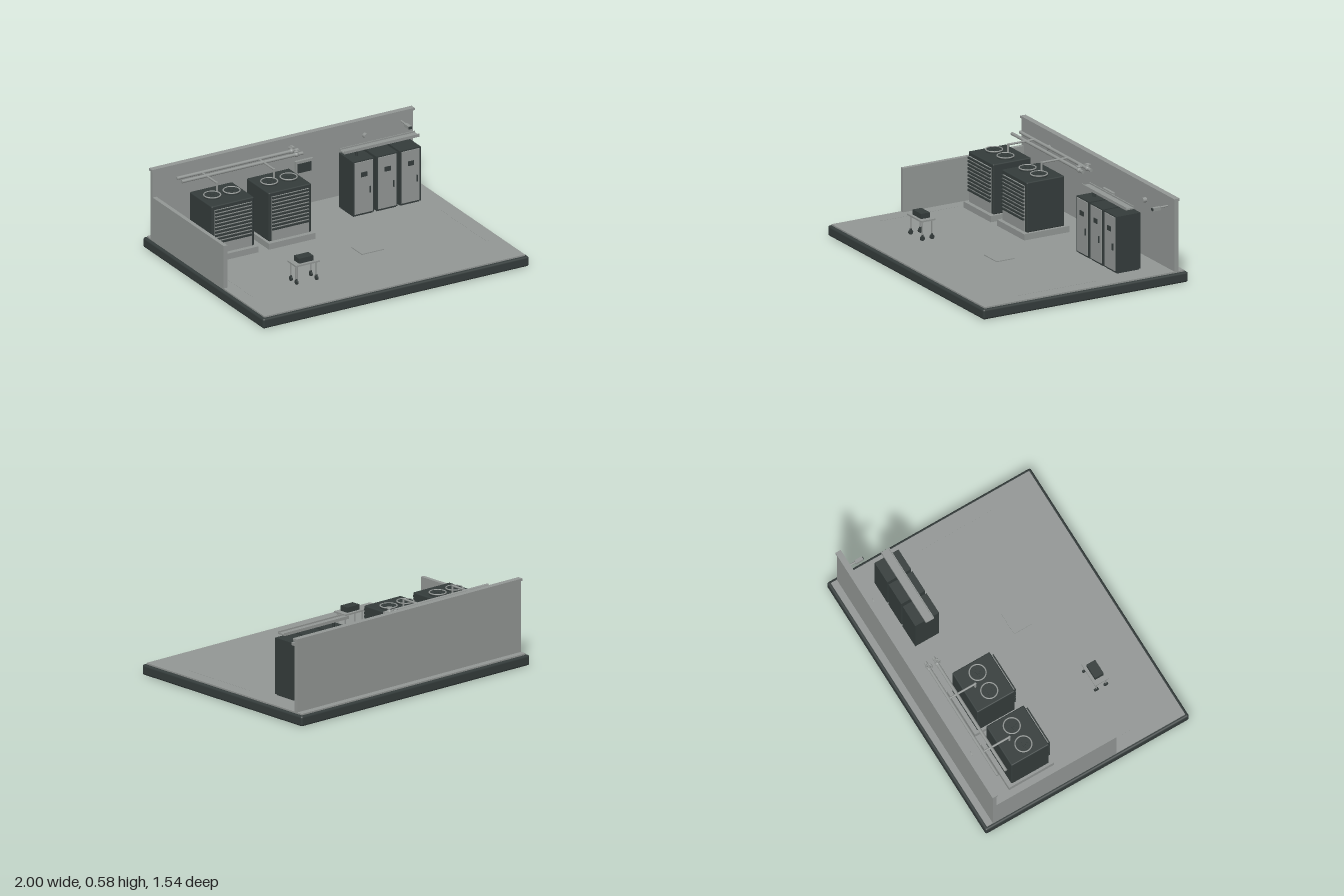
import * as THREE from 'three';
import { RoundedBoxGeometry } from 'three/addons/geometries/RoundedBoxGeometry.js';

const light = new THREE.MeshStandardMaterial({ color: 0x929694 });
light.name = 'lightGrey';
const dark = new THREE.MeshStandardMaterial({ color: 0x343c3b });
dark.name = 'charcoal';

function add(parent, name, geometry, material, x = 0, y = 0, z = 0) {
  const mesh = new THREE.Mesh(geometry, material);
  mesh.name = name;
  mesh.position.set(x, y, z);
  parent.add(mesh);
  return mesh;
}

// Box given by its minimum and maximum on each axis
function box(parent, name, material, x0, x1, y0, y1, z0, z1) {
  return add(parent, name, new THREE.BoxGeometry(x1 - x0, y1 - y0, z1 - z0), material,
    (x0 + x1) / 2, (y0 + y1) / 2, (z0 + z1) / 2);
}

// Round bar between two points
function rod(parent, name, material, from, to, radius, sides = 16) {
  const a = new THREE.Vector3(...from), b = new THREE.Vector3(...to);
  const dir = b.clone().sub(a);
  const mesh = add(parent, name, new THREE.CylinderGeometry(radius, radius, dir.length(), sides), material);
  mesh.position.copy(a).add(b).multiplyScalar(0.5);
  mesh.quaternion.setFromUnitVectors(new THREE.Vector3(0, 1, 0), dir.normalize());
  return mesh;
}

function group(parent, name, x = 0, y = 0, z = 0) {
  const g = new THREE.Group();
  g.name = name;
  g.position.set(x, y, z);
  parent.add(g);
  return g;
}

function buildRoom(root) {
  const room = group(root, 'room');
  add(room, 'base', new RoundedBoxGeometry(2, 0.07, 1.54, 3, 0.014), dark, 0, 0.035, 0);
  box(room, 'floor', light, -0.98, 0.98, 0.065, 0.08, -0.75, 0.75);
  box(room, 'backWall', light, -0.98, 0.98, 0.08, 0.562, -0.705, -0.677);
  box(room, 'backWallCap', light, -0.988, 0.988, 0.562, 0.578, -0.711, -0.671);
  box(room, 'sideWall', light, -0.98, -0.952, 0.08, 0.38, -0.677, 0.23);
  // Floor hatch and walkway strips
  box(room, 'floorHatch', light, 0.065, 0.23, 0.08, 0.086, 0.085, 0.22);
  for (const x of [-0.88, 0.88]) box(room, 'floorStrip', light, x - 0.008, x + 0.008, 0.08, 0.081, -0.14, 0.44);
}

function buildChiller(root, x) {
  const c = group(root, 'chiller', x);
  box(c, 'plinth', light, -0.175, 0.175, 0.08, 0.122, -0.498, -0.158);
  add(c, 'housing', new RoundedBoxGeometry(0.32, 0.343, 0.284, 2, 0.008), dark, 0, 0.2935, -0.328);
  box(c, 'frontPanel', light, -0.139, 0.139, 0.128, 0.437, -0.187, -0.177);
  // Louvres across the upper part of the front
  for (let i = 0; i < 10; i++) {
    const y = 0.21 + i * 0.0245;
    box(c, 'louvre', dark, -0.141, 0.141, y - 0.006, y + 0.006, -0.18, -0.167);
  }
  // Two roof fans with rims, blades and hubs
  for (const fx of [-0.073, 0.073]) {
    const fan = group(c, 'fan', fx, 0.465, -0.328);
    add(fan, 'fanDrum', new THREE.CylinderGeometry(0.055, 0.055, 0.014, 32), dark, 0, 0.007, 0);
    const rim = add(fan, 'fanRim', new THREE.TorusGeometry(0.055, 0.0045, 8, 40), light, 0, 0.014, 0);
    rim.rotation.x = Math.PI / 2;
    add(fan, 'fanHub', new THREE.CylinderGeometry(0.013, 0.013, 0.006, 16), dark, 0, 0.016, 0);
    for (let k = 0; k < 4; k++) {
      const blade = add(fan, 'fanBlade', new THREE.BoxGeometry(0.096, 0.003, 0.008), dark, 0, 0.0145, 0);
      blade.rotation.y = k * Math.PI / 4;
    }
  }
  // Pipe drop from the mains
  rod(c, 'branchPipe', light, [0, 0.522, -0.59], [0, 0.522, -0.39], 0.007);
  rod(c, 'branchDrop', light, [0, 0.528, -0.39], [0, 0.463, -0.39], 0.007);
}

function buildPipes(root) {
  const pipes = group(root, 'pipework');
  for (const z of [-0.59, -0.528]) {
    rod(pipes, 'mainPipe', light, [-0.85, 0.52, z], [0.06, 0.52, z], 0.011);
    add(pipes, 'valveBody', new THREE.SphereGeometry(0.017, 16, 12), light, 0.013, 0.52, z);
    rod(pipes, 'valveStem', light, [0.013, 0.52, z], [0.013, 0.548, z], 0.005);
    const wheel = add(pipes, 'valveWheel', new THREE.TorusGeometry(0.018, 0.004, 8, 24), light, 0.013, 0.547, z);
    wheel.rotation.x = Math.PI / 2;
    for (const [dx, dz] of [[0.018, 0], [0, 0.018]]) {
      rod(pipes, 'wheelSpoke', light, [0.013 - dx, 0.547, z - dz], [0.013 + dx, 0.547, z + dz], 0.003, 8);
    }
  }
}

function buildCabinets(root) {
  for (const x of [0.4, 0.577, 0.752]) {
    const c = group(root, 'cabinet', x);
    box(c, 'cabinetBody', dark, -0.079, 0.079, 0.088, 0.47, -0.508, -0.328);
    box(c, 'cabinetFoot', dark, -0.072, 0.072, 0.08, 0.09, -0.5, -0.336);
    box(c, 'cabinetDoor', light, -0.067, 0.067, 0.098, 0.462, -0.329, -0.322);
    box(c, 'display', dark, -0.022, 0.022, 0.356, 0.388, -0.323, -0.317);
    box(c, 'doorHandle', dark, 0.042, 0.049, 0.235, 0.28, -0.323, -0.314);
  }
  // Overhead cable tray: floor with raised edges
  const tray = group(root, 'cableTray');
  box(tray, 'trayFloor', light, 0.29, 0.855, 0.512, 0.522, -0.442, -0.388);
  box(tray, 'trayEdge', light, 0.29, 0.855, 0.512, 0.532, -0.446, -0.44);
  box(tray, 'trayEdge', light, 0.29, 0.855, 0.512, 0.532, -0.39, -0.384);
  rod(tray, 'cableDrop', dark, [0.398, 0.514, -0.413], [0.398, 0.468, -0.413], 0.009);
}

function buildWallFittings(root) {
  const panel = group(root, 'controlPanel');
  box(panel, 'panelCase', light, 0.085, 0.218, 0.3, 0.4, -0.68, -0.658);
  box(panel, 'panelScreen', dark, 0.1, 0.202, 0.318, 0.382, -0.659, -0.653);
  for (const x of [-0.62, 0.613]) {
    rod(root, 'wallLamp', light, [x, 0.467, -0.68], [x, 0.467, -0.65], 0.017, 24);
  }
  const camera = group(root, 'camera');
  rod(camera, 'cameraArm', light, [0.89, 0.505, -0.68], [0.89, 0.503, -0.6], 0.006);
  box(camera, 'cameraBody', light, 0.878, 0.902, 0.488, 0.509, -0.62, -0.565);
  box(camera, 'cameraLens', dark, 0.88, 0.9, 0.49, 0.507, -0.566, -0.56);
}

function buildCart(root) {
  const cart = group(root, 'cart', -0.466, 0, 0.378);
  box(cart, 'cartTop', light, -0.09, 0.09, 0.21, 0.221, -0.053, 0.053);
  box(cart, 'equipmentCase', dark, -0.054, 0.054, 0.221, 0.256, -0.033, 0.033);
  for (const x of [-0.075, 0.075]) {
    for (const z of [-0.036, 0.036]) {
      rod(cart, 'cartLeg', light, [x, 0.105, z], [x, 0.212, z], 0.005, 12);
      rod(cart, 'cartWheel', dark, [x - 0.006, 0.096, z], [x + 0.006, 0.096, z], 0.016, 20);
      rod(cart, 'wheelFork', dark, [x, 0.096, z], [x, 0.12, z], 0.007, 12);
    }
  }
}

export function createModel() {
  const root = new THREE.Group();
  root.name = 'plantRoom';
  buildRoom(root);
  for (const x of [-0.665, -0.236]) buildChiller(root, x);
  buildPipes(root);
  buildCabinets(root);
  buildWallFittings(root);
  buildCart(root);
  return root;
}
